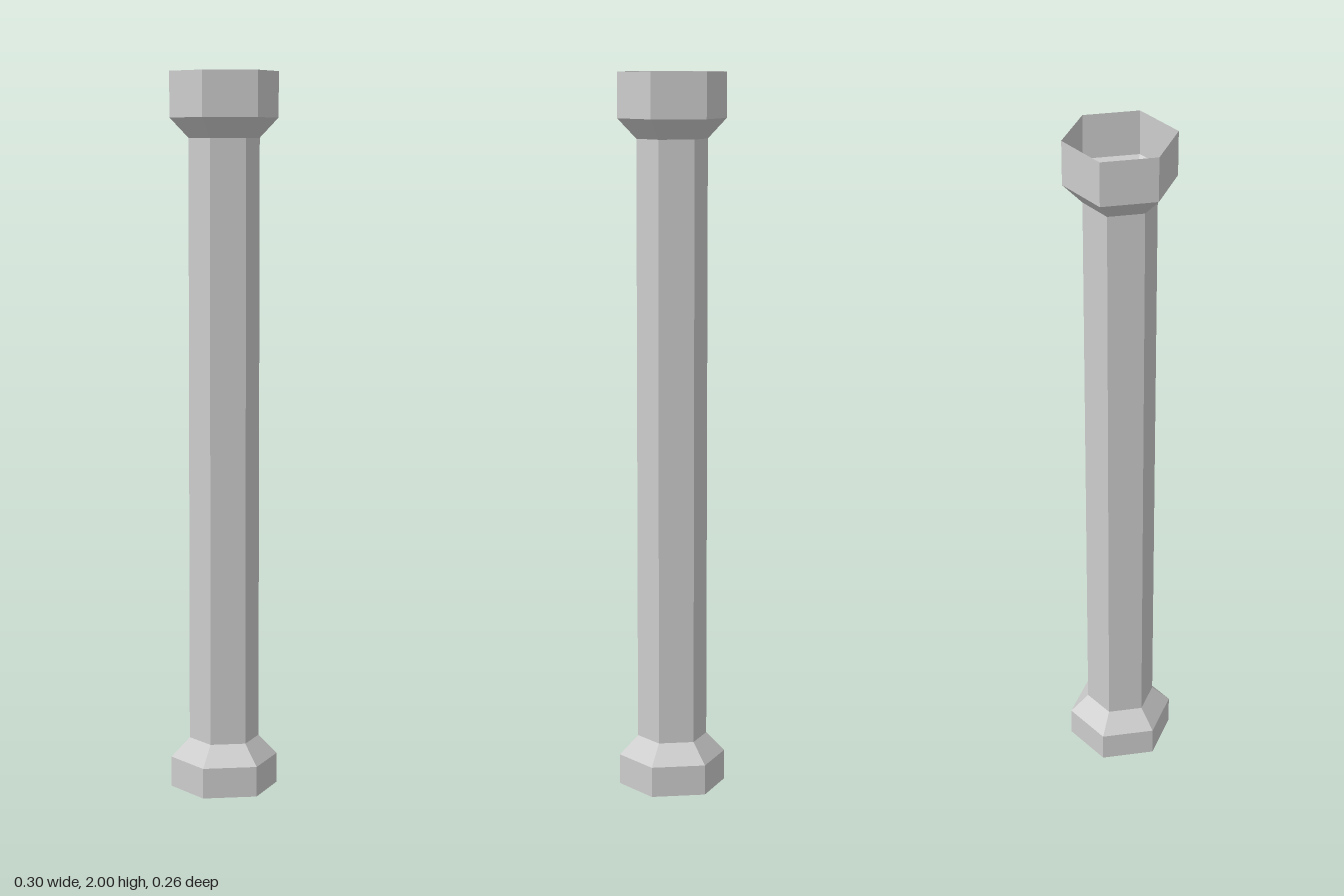
import * as THREE from 'three';

const SIDES = 6, WIDE = 0.15, NARROW = 0.098;

export function createModel() {
  const model = new THREE.Group();
  model.name = 'hexagonalColumn';
  const stone = new THREE.MeshStandardMaterial({
    color: 0xcccccc, flatShading: true, side: THREE.DoubleSide,
  });
  stone.name = 'light grey';

  // Open six-sided shell from a [radius, height] profile, corners on the x axis
  function shell(name, profile) {
    const points = profile.map(([r, y]) => new THREE.Vector2(r, y));
    const geometry = new THREE.LatheGeometry(points, SIDES, Math.PI / 2).toNonIndexed();
    geometry.computeVertexNormals();
    const mesh = new THREE.Mesh(geometry, stone);
    mesh.name = name;
    model.add(mesh);
  }

  // Foot: upright collar, then a bevel in to the shaft
  shell('base', [[WIDE, 0], [WIDE, 0.085], [NARROW, 0.14]]);
  // Long hollow shaft
  shell('shaft', [[NARROW, 0.14], [NARROW, 1.82]]);
  // Head: bevel out to a taller collar
  shell('capital', [[NARROW, 1.82], [WIDE, 1.875], [WIDE, 2]]);

  return model;
}
